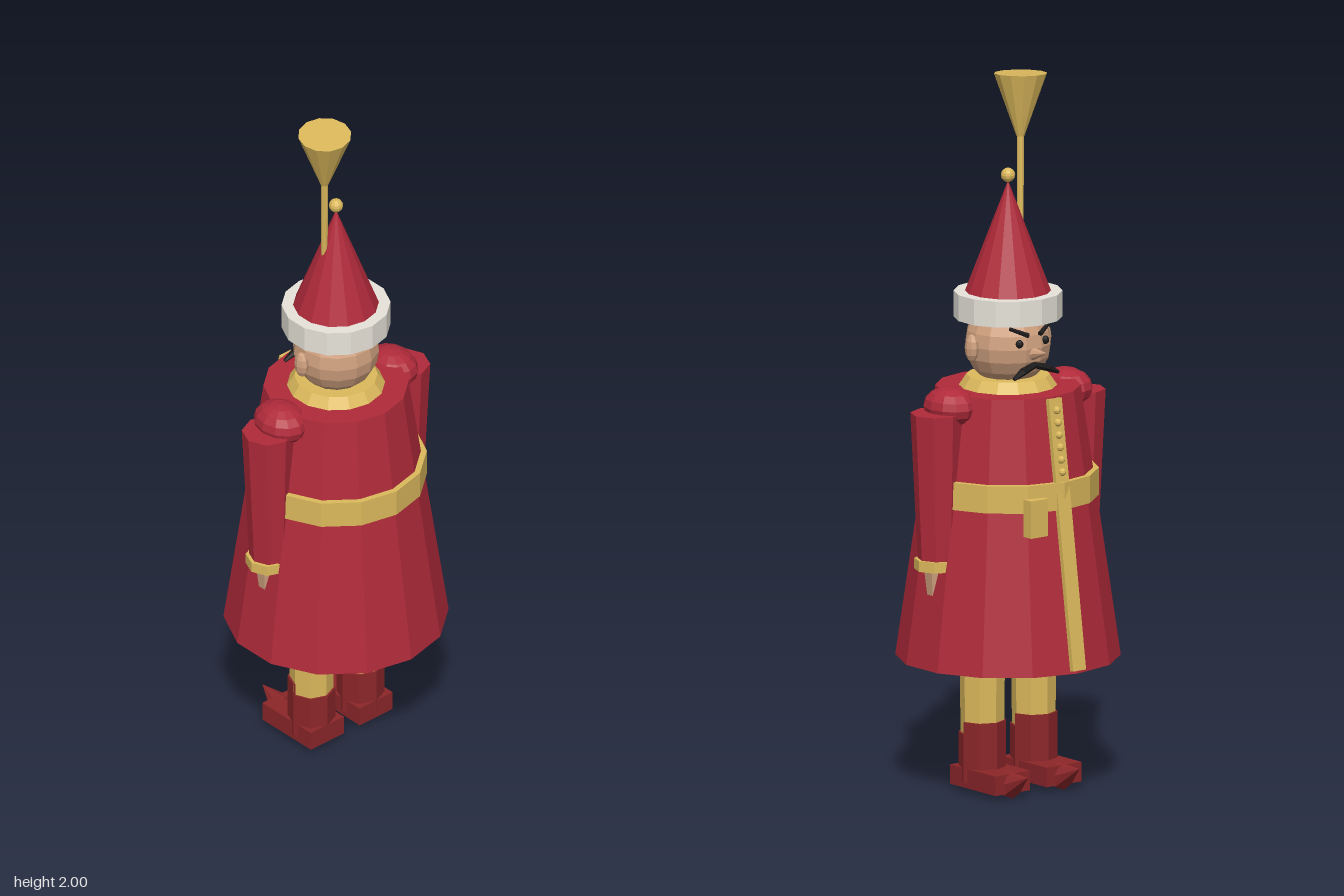
import * as THREE from 'three';

const mat = (name, color) => {
  const m = new THREE.MeshStandardMaterial({ color, flatShading: true });
  m.name = name;
  return m;
};

export function createModel() {
  const red = mat('coat red', 0xb02a3a);
  const gold = mat('gold', 0xdcb95c);
  const white = mat('fur white', 0xe8e4da);
  const skin = mat('skin', 0xcfa07e);
  const boot = mat('boot red', 0x8c2629);
  const black = mat('black', 0x1c1a1a);

  const model = new THREE.Group();
  model.name = 'toySoldier';
  const V = (x, y, z) => new THREE.Vector3(x, y, z);

  function add(name, geo, material, x = 0, y = 0, z = 0) {
    const m = new THREE.Mesh(geo, material);
    m.name = name;
    m.position.set(x, y, z);
    model.add(m);
    return m;
  }
  // Upright tapered cylinder between two heights
  const column = (name, rTop, rBottom, y0, y1, sides, material, x = 0, z = 0) =>
    add(name, new THREE.CylinderGeometry(rTop, rBottom, y1 - y0, sides), material, x, (y0 + y1) / 2, z);
  // Tapered cylinder from a to b
  function rod(name, a, b, ra, rb, sides, material) {
    const d = b.clone().sub(a);
    const m = add(name, new THREE.CylinderGeometry(rb, ra, d.length(), sides), material);
    m.position.copy(a).add(b).multiplyScalar(0.5);
    m.quaternion.setFromUnitVectors(V(0, 1, 0), d.normalize());
    return m;
  }
  function ball(name, rx, ry, rz, material, x, y, z, w = 10, h = 8) {
    const m = add(name, new THREE.SphereGeometry(1, w, h), material, x, y, z);
    m.scale.set(rx, ry, rz);
    return m;
  }
  const box = (name, w, h, d, material, x, y, z) =>
    add(name, new THREE.BoxGeometry(w, h, d), material, x, y, z);

  // Coat, belt and collar
  column('coat', 0.2, 0.31, 0.37, 1.13, 14, red);
  column('belt', 0.25, 0.25, 0.82, 0.897, 14, gold);
  column('collar', 0.115, 0.142, 1.12, 1.16, 14, gold);

  // Front placket following the coat's slope, with buttons
  const slope = Math.atan2(0.11, 0.76);
  const coatFront = (y) => -(0.2 + ((1.13 - y) / 0.76) * 0.11);
  const placket = box('placket', 0.045, 0.755, 0.018, gold, 0, 0.752, coatFront(0.752));
  placket.rotation.x = slope;
  for (let i = 0; i < 6; i++) {
    const y = 0.925 + i * 0.034;
    ball('button', 0.011, 0.011, 0.011, gold, 0, y, coatFront(y) - 0.011, 8, 6);
  }
  box('pouch', 0.06, 0.105, 0.033, gold, 0.09, 0.808, -0.237);

  // Head and nose
  ball('head', 0.12, 0.12, 0.12, skin, 0, 1.25, 0, 14, 10);
  rod('nose', V(0, 1.235, -0.105), V(0, 1.247, -0.172), 0.02, 0, 8, skin);

  // Hat
  column('hatBrim', 0.15, 0.15, 1.322, 1.395, 14, white);
  column('hatCone', 0, 0.12, 1.39, 1.705, 14, red);
  ball('hatBobble', 0.02, 0.02, 0.02, gold, 0, 1.72, 0);

  // Slightly tilted trumpet rising from the hat
  const mouth = V(-0.063, 1.994, 0.024), neck = V(-0.053, 1.82, 0.012), foot = V(-0.038, 1.54, -0.006);
  rod('trumpetTube', foot, neck, 0.009, 0.01, 8, gold);
  rod('trumpetBell', neck, mouth, 0.011, 0.074, 12, gold);

  for (const s of [-1, 1]) {
    // Face details
    ball('ear', 0.018, 0.039, 0.022, skin, s * 0.127, 1.25, 0, 8, 6);
    ball('eye', 0.012, 0.012, 0.01, black, s * 0.045, 1.268, -0.108, 8, 6);
    rod('eyebrow', V(s * 0.02, 1.29, -0.117), V(s * 0.07, 1.312, -0.095), 0.007, 0.005, 6, black);
    rod('moustacheInner', V(0, 1.205, -0.118), V(s * 0.045, 1.192, -0.122), 0.009, 0.011, 6, black);
    rod('moustacheTip', V(s * 0.045, 1.192, -0.122), V(s * 0.078, 1.176, -0.125), 0.011, 0.005, 6, black);

    // Arm
    ball('epaulette', 0.069, 0.055, 0.084, red, s * 0.203, 1.096, 0, 12, 8);
    rod('sleeve', V(s * 0.245, 0.66, 0), V(s * 0.25, 1.085, 0), 0.056, 0.073, 8, red);
    column('cuff', 0.062, 0.062, 0.645, 0.675, 8, gold, s * 0.25);
    column('hand', 0.034, 0.02, 0.535, 0.65, 6, skin, s * 0.252);

    // Leg and boot
    column('leg', 0.064, 0.06, 0.15, 0.46, 8, gold, s * 0.09);
    column('bootShaft', 0.066, 0.066, 0.03, 0.165, 8, boot, s * 0.09);
    const flap = add('bootFrontFlap',
      new THREE.CylinderGeometry(0.066, 0.066, 0.06, 4, 1, false, Math.PI / 2, Math.PI), boot, s * 0.09, 0.17, 0);
    box('bootFlapBack', 0.128, 0.06, 0.002, boot, s * 0.09, 0.17, 0);
    flap.castShadow = false;
    box('bootFoot', 0.122, 0.055, 0.2, boot, s * 0.09, 0.0425, -0.035);
    rod('bootToe', V(s * 0.09, 0.037, -0.12), V(s * 0.09, 0.07, -0.203), 0.04, 0, 8, boot);
  }

  return model;
}
